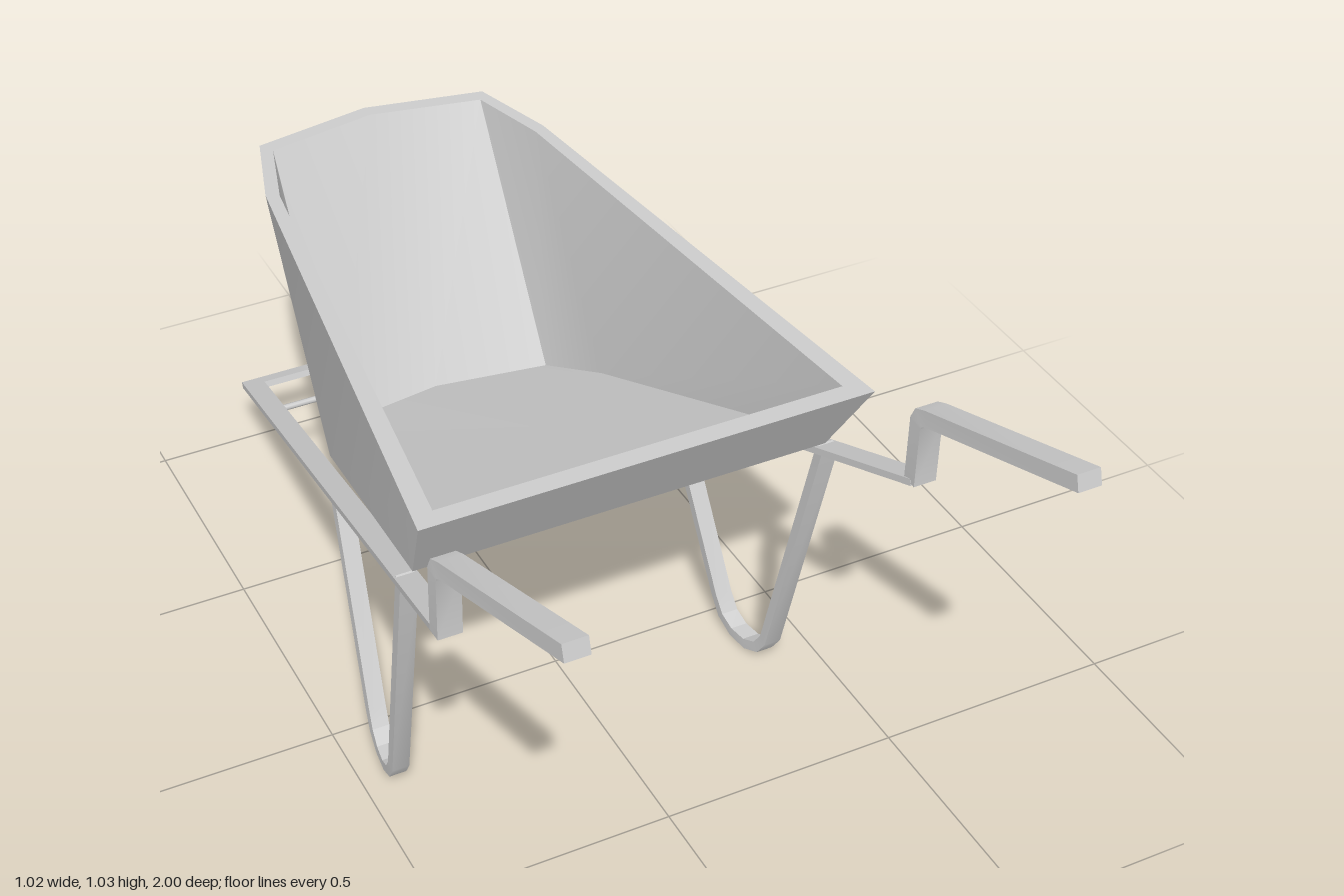
import * as THREE from 'three';
import { toCreasedNormals } from 'three/addons/utils/BufferGeometryUtils.js';

const CX = -0.02; // symmetry axis of the frame, tray and wheel
const material = new THREE.MeshStandardMaterial({ color: 0xcccccc });

// Skin a list of equal-length closed rings and cap both ends
function loft(rings, crease = 0.45) {
  const pos = [];
  const tri = (a, b, c) => pos.push(...a, ...b, ...c);
  const n = rings[0].length;
  for (let r = 0; r < rings.length - 1; r++) {
    for (let i = 0; i < n; i++) {
      const j = (i + 1) % n;
      tri(rings[r][i], rings[r][j], rings[r + 1][j]);
      tri(rings[r][i], rings[r + 1][j], rings[r + 1][i]);
    }
  }
  const first = rings[0], last = rings[rings.length - 1];
  for (let i = 1; i < n - 1; i++) {
    tri(first[0], first[i + 1], first[i]);
    tri(last[0], last[i], last[i + 1]);
  }
  const geo = new THREE.BufferGeometry();
  geo.setAttribute('position', new THREE.Float32BufferAttribute(pos, 3));
  return toCreasedNormals(geo, crease);
}

// Rectangular bar along a path, mitred in the yz plane; width runs along x
function bar(path, width, thick) {
  const dir = (a, b) => new THREE.Vector2(b[1] - a[1], b[2] - a[2]).normalize();
  const last = path.length - 1;
  const rings = path.map((p, i) => {
    const before = dir(path[Math.max(i - 1, 0)], path[Math.max(i, 1)]);
    const after = dir(path[Math.min(i, last - 1)], path[Math.min(i + 1, last)]);
    const t = before.clone().add(after).normalize();
    const h = thick / 2 / t.dot(after);
    const w = width / 2;
    const at = (sx, sn) => [p[0] + sx * w, p[1] + sn * h * t.y, p[2] - sn * h * t.x];
    return [at(1, 1), at(-1, 1), at(-1, -1), at(1, -1)];
  });
  return loft(rings);
}

// Complete a half outline (rear corner to front apex) by mirroring it
function mirrorRing(half) {
  const other = half.slice(0, -1).reverse().map(([x, y, z]) => [-x, y, z]);
  return [...half, ...other].map(([x, y, z]) => [x + CX, y, z]);
}

// Height and half spread of the sloping side rails at depth z
const railY = (z) => 0.15 + (z + 1) * 0.373;
const railX = (z) => 0.258 + (z + 1) * 0.133;

export function createModel() {
  const model = new THREE.Group();
  const add = (name, geo, parent = model) => {
    const mesh = new THREE.Mesh(geo, material);
    mesh.name = name;
    parent.add(mesh);
    return mesh;
  };

  // Tray: outer bottom, outer rim, inner rim, inner floor
  add('tray', loft([
    [[0.425, 0.662, 0.33], [0.315, 0.405, -0.36], [0.26, 0.342, -0.52], [0, 0.34, -0.565]],
    [[0.455, 0.843, 0.435], [0.31, 0.862, -0.65], [0.253, 0.865, -0.83], [0, 0.865, -0.877]],
    [[0.41, 0.843, 0.395], [0.285, 0.862, -0.635], [0.235, 0.865, -0.8], [0, 0.865, -0.845]],
    [[0.4, 0.68, 0.3], [0.295, 0.43, -0.34], [0.237, 0.372, -0.49], [0, 0.36, -0.54]],
  ].map(mirrorRing)));

  for (const [side, s] of [['left', 1], ['right', -1]]) {
    // Flat side rail
    const railPoint = (z) => [CX + s * railX(z), railY(z), z];
    add(side + 'Rail', bar([railPoint(-1), railPoint(0.585)], 0.046, 0.014));

    // Cranked handle; both grips lean towards +x
    const hx = CX + s * 0.47;
    add(side + 'Handle', bar([
      [hx, 0.738, 0.58], [hx, 0.872, 0.58], [hx + 0.001, 0.888, 0.587],
      [hx + 0.003, 0.896, 0.605], [hx + 0.037, 1.016, 0.995],
    ], 0.047, 0.033));

    // U-shaped leg lying in the plane of its rail
    add(side + 'Leg', bar([
      [0.325, 0.648], [0.195, 0.065], [0.173, 0.031], [0.135, 0.012],
      [0.09, 0.012], [0.053, 0.031], [0.028, 0.07], [-0.16, 0.46],
    ].map(([z, y]) => [CX + s * railX(z), y, z]), 0.036, 0.022));
  }

  // Cross bar joining the rails at the nose
  add('noseBar', bar([[CX, railY(-1), -1], [CX, railY(-0.96), -0.96]], 0.56, 0.014));

  // Wheel: faceted tyre with a recessed hub, on a thin axle
  const wheel = new THREE.Group();
  wheel.name = 'wheel';
  wheel.position.set(CX + 0.004, 0.227, -0.78);
  model.add(wheel);
  const half = [[0.1, 0.033], [0.105, 0.046], [0.13, 0.053], [0.155, 0.046], [0.175, 0.026]];
  const profile = [
    ...half.map(([r, y]) => new THREE.Vector2(r, -y)),
    new THREE.Vector2(0.184, 0),
    ...half.slice().reverse().map(([r, y]) => new THREE.Vector2(r, y)),
  ];
  const placeOnAxle = (geo) => geo.rotateY(Math.PI / 12).rotateZ(Math.PI / 2);
  add('tyre', toCreasedNormals(placeOnAxle(new THREE.LatheGeometry(profile, 12)), 0.4), wheel);
  add('hub', toCreasedNormals(placeOnAxle(new THREE.CylinderGeometry(0.102, 0.102, 0.068, 12)), 0.6), wheel);
  add('axle', new THREE.CylinderGeometry(0.007, 0.007, 0.56, 8).rotateZ(Math.PI / 2), wheel);

  return model;
}
